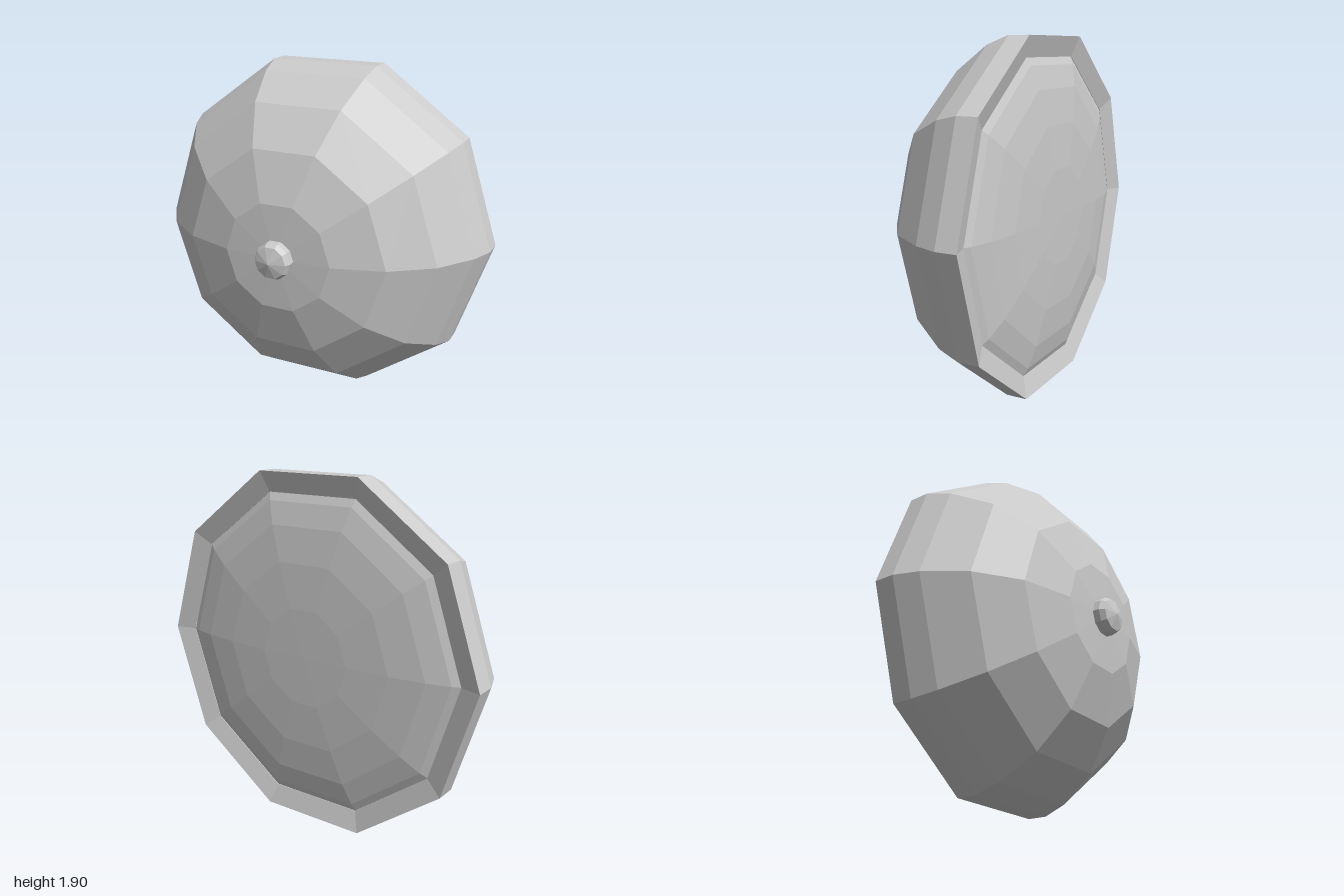
import * as THREE from 'three';

const SIDES = 10;
const CENTRE_Y = 0.951; // flat-to-centre distance of the unit decagon

// Turn a [radius, z] profile, listed from back to front, around the z axis.
function turned(name, profile) {
  const points = profile.map(([r, z]) => new THREE.Vector2(r, z));
  const geometry = new THREE.LatheGeometry(points, SIDES, Math.PI / SIDES);
  geometry.rotateX(Math.PI / 2);
  const material = new THREE.MeshStandardMaterial({
    color: 0xcccccc, flatShading: true, side: THREE.DoubleSide,
  });
  const mesh = new THREE.Mesh(geometry, material);
  mesh.name = name;
  mesh.position.y = CENTRE_Y;
  return mesh;
}

// Flattened dome steps: sine-spaced radii with their drop from the pole.
const DROPS = [0, 0.025, 0.168, 0.436, 0.78, 1];
function dome(radius, poleZ, depth) {
  return DROPS.map((drop, k) => [radius * Math.sin(k * Math.PI / 10), poleZ - depth * drop]);
}

export function createModel() {
  const group = new THREE.Group();
  group.name = 'domedShield';

  // Faceted front dome and its straight edge band
  group.add(turned('frontDome', dome(1, 0.338, 0.601).reverse()));
  group.add(turned('edgeBand', [[1, -0.38], [1, -0.263]]));

  // Bevelled rim sloping inward to the shallow back cover
  group.add(turned('backRim', [[0.885, -0.345], [1, -0.38]]));
  group.add(turned('backCover', dome(0.885, -0.43, -0.088)));

  // Small central knob
  group.add(turned('knob', [[0.105, 0.325], [0.105, 0.37], [0.09, 0.4], [0, 0.425]]));

  return group;
}
